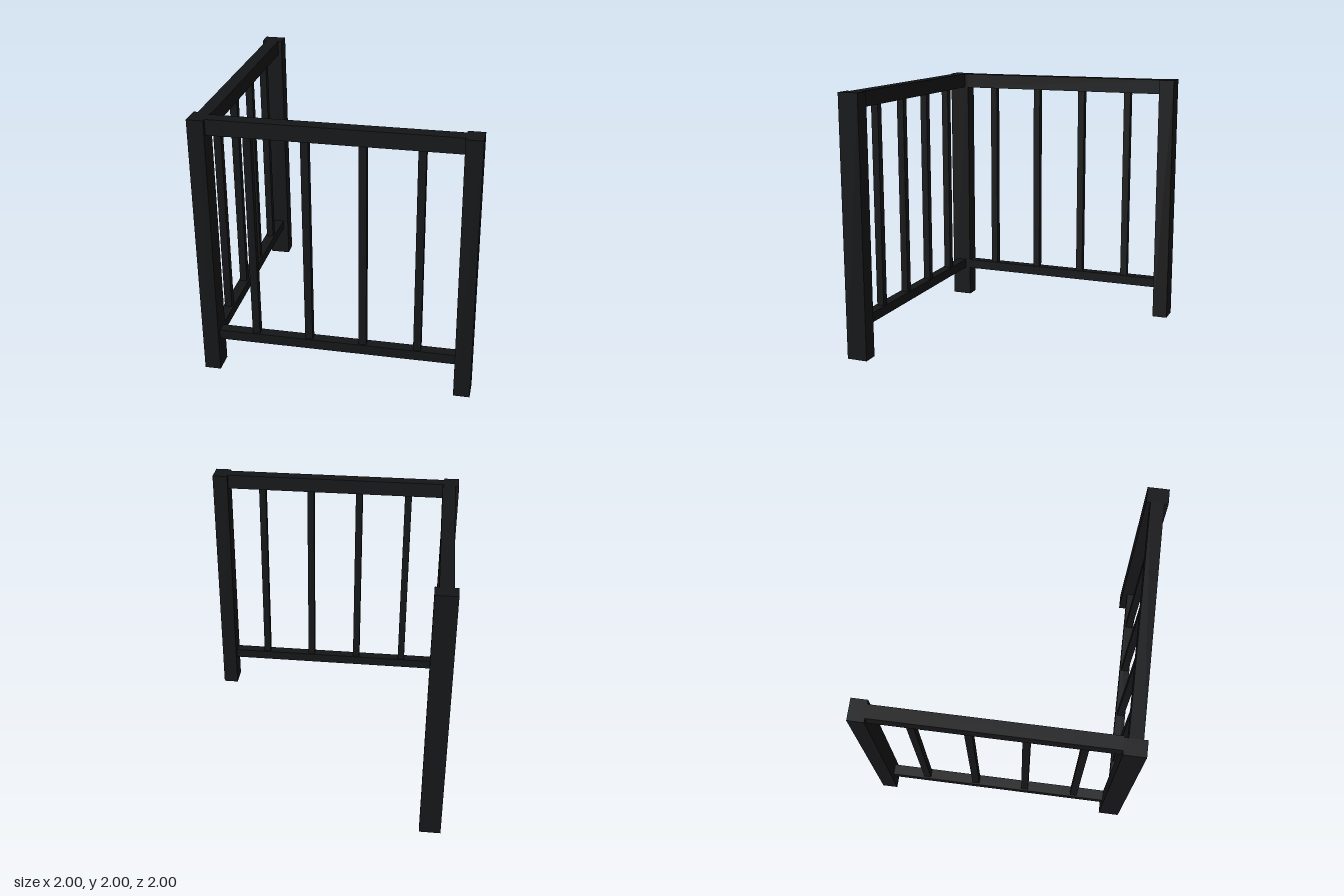
import * as THREE from 'three';

export function createModel() {
  const model = new THREE.Group();
  model.name = 'cornerRailing';
  const material = new THREE.MeshStandardMaterial({ color: 0x141517 });

  // Box given by its extents on each axis
  function bar(parent, name, [x0, x1], [y0, y1], [z0, z1]) {
    const mesh = new THREE.Mesh(new THREE.BoxGeometry(x1 - x0, y1 - y0, z1 - z0), material);
    mesh.position.set((x0 + x1) / 2, (y0 + y1) / 2, (z0 + z1) / 2);
    mesh.name = name;
    parent.add(mesh);
  }

  // Posts
  bar(model, 'cornerPost', [-1, -0.88], [0, 2], [0.84, 1]);
  bar(model, 'frontEndPost', [0.88, 1], [0, 2], [0.84, 1]);
  bar(model, 'backEndPost', [-1, -0.84], [0, 2], [-1, -0.88]);

  // One railing panel; "along" is its running axis, "centre" its place on the other
  function panel(name, along, from, to, centre) {
    const group = new THREE.Group();
    group.name = name;
    const piece = (label, a0, a1, y, width) => {
      const run = [a0, a1];
      const across = [centre - width / 2, centre + width / 2];
      if (along === 'x') bar(group, label, run, y, across);
      else bar(group, label, across, y, run);
    };
    piece('topRail', from, to, [1.885, 2], 0.1);
    piece('bottomRail', from, to, [0.245, 0.32], 0.08);
    for (const a of [-0.6, -0.2, 0.2, 0.6]) {
      piece('baluster', a - 0.0275, a + 0.0275, [0.32, 1.885], 0.055);
    }
    model.add(group);
  }

  panel('frontPanel', 'x', -0.88, 0.88, 0.92);
  panel('sidePanel', 'z', -0.88, 0.84, -0.92);

  return model;
}
